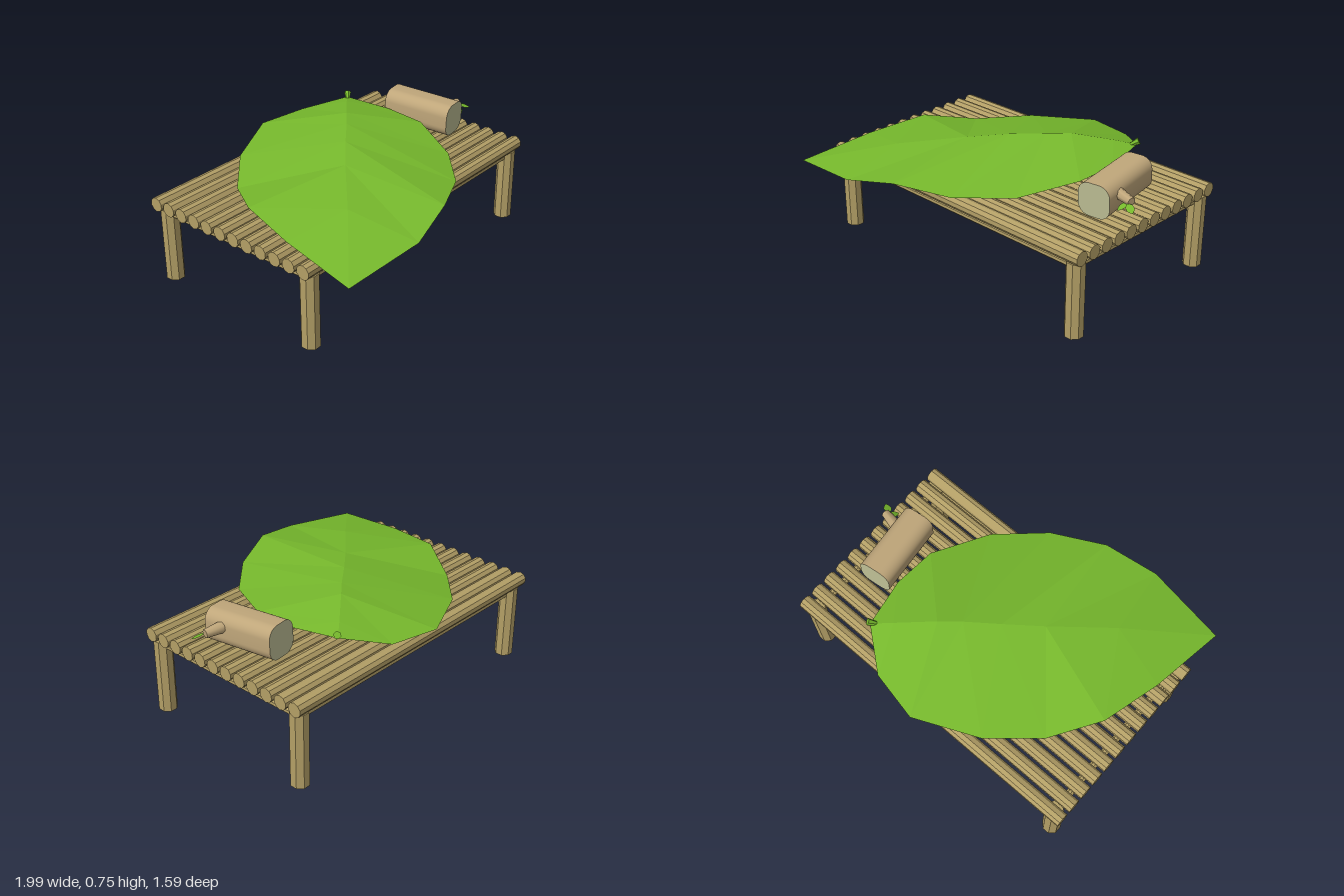
import * as THREE from 'three';
import { toCreasedNormals } from 'three/addons/utils/BufferGeometryUtils.js';

const mat = (color, extra = {}) => new THREE.MeshStandardMaterial({ color, ...extra });

export function createModel() {
  const model = new THREE.Group();
  const wood = mat(0xb39f66, { flatShading: true });
  const bark = mat(0xbfa67a);
  const cutWood = mat(0xbcbd94);
  const green = mat(0x76b82c, { flatShading: true, side: THREE.DoubleSide });

  const add = (name, geometry, material, parent = model) => {
    const mesh = new THREE.Mesh(geometry, material);
    mesh.name = name;
    parent.add(mesh);
    return mesh;
  };

  // Straight pole between two points
  const pole = (name, a, b, r0, r1, sides, material) => {
    const from = new THREE.Vector3(...a), to = new THREE.Vector3(...b);
    const dir = to.clone().sub(from);
    const geo = new THREE.CylinderGeometry(r1, r0, dir.length(), sides);
    geo.rotateY(Math.PI / sides);
    const mesh = add(name, geo, material);
    mesh.position.copy(from).add(to).multiplyScalar(0.5);
    mesh.quaternion.setFromUnitVectors(new THREE.Vector3(0, 1, 0), dir.normalize());
    return mesh;
  };

  // Table top of parallel slats
  for (let i = 0; i < 12; i++) {
    const z = -0.667 + i * 0.1007;
    pole('slat', [-1, 0.495, z], [0.97, 0.495, z], 0.043, 0.043, 10, wood);
  }

  // Legs and the rails joining them
  const legX = [-0.925, 0.91], legZ = [-0.643, 0.418];
  for (const x of legX) {
    for (const z of legZ) pole('leg', [x, 0, z], [x, 0.455, z], 0.055, 0.055, 8, wood);
    pole('sideRail', [x, 0.428, legZ[0]], [x, 0.428, legZ[1]], 0.023, 0.023, 8, wood);
  }
  for (const z of legZ)
    pole('longRail', [legX[0], 0.425, z], [legX[1], 0.425, z], 0.023, 0.023, 8, wood);

  // Big leaf: each row is left edge, midrib, right edge
  const tip = [-0.985, 0.515, 0.735], base = [0.525, 0.675, -0.555];
  const rows = [
    [tip, tip, tip],
    [[-0.92, 0.57, 0.26], [-0.55, 0.64, 0.36], [-0.49, 0.57, 0.79]],
    [[-0.83, 0.605, -0.105], [-0.24, 0.69, 0.08], [-0.17, 0.63, 0.72]],
    [[-0.64, 0.55, -0.385], [-0.05, 0.717, -0.08], [0.14, 0.6, 0.575]],
    [[-0.375, 0.578, -0.625], [0.12, 0.73, -0.215], [0.4, 0.6, 0.335]],
    [[0, 0.605, -0.8], [0.23, 0.735, -0.31], [0.57, 0.645, 0]],
    [[0.3, 0.615, -0.74], [0.42, 0.7, -0.47], [0.585, 0.655, -0.26]],
    [base, base, base],
  ];
  const index = [];
  for (let r = 0; r < rows.length - 1; r++) {
    for (let c = 0; c < 2; c++) {
      const a = r * 3 + c, b = a + 1, d = a + 3, e = a + 4;
      if (r > 0) index.push(a, b, d);
      if (r < rows.length - 2) index.push(b, e, d);
      else if (c === 0) continue;
    }
  }
  // Close the pointed tip on both halves
  const leafGeo = new THREE.BufferGeometry();
  leafGeo.setAttribute('position', new THREE.Float32BufferAttribute(rows.flat(2), 3));
  leafGeo.setIndex(index);
  leafGeo.computeVertexNormals();
  add('leafBlanket', leafGeo, green);
  pole('leafStalk', [0.5, 0.675, -0.53], [0.535, 0.7, -0.56], 0.012, 0.022, 6, green);

  // Log pillow: rounded square section, pale cut ends
  const h = 0.1, k = 0.068;
  const section = new THREE.Shape();
  section.moveTo(h - k, -h);
  section.absarc(h - k, -h + k, k, -Math.PI / 2, 0);
  section.absarc(h - k, h - k, k, 0, Math.PI / 2);
  section.absarc(-h + k, h - k, k, Math.PI / 2, Math.PI);
  section.absarc(-h + k, -h + k, k, Math.PI, Math.PI * 1.5);
  const logGeo = new THREE.ExtrudeGeometry(section, { depth: 0.44, bevelEnabled: false, curveSegments: 5 });
  logGeo.translate(0, 0, -0.22);
  const log = add('logPillow', toCreasedNormals(logGeo, 0.7), [cutWood, bark]);
  log.position.set(0.735, 0.643, -0.105);
  log.rotation.set(0.04, 0.125, 0);

  // Twig stub on the log with two small leaves
  pole('twig', [0.82, 0.665, -0.01], [0.94, 0.655, 0.015], 0.036, 0.025, 8, bark);
  const sprig = (x, y, z, length, yaw, pitch) => {
    const s = new THREE.Shape();
    s.moveTo(0, 0);
    s.quadraticCurveTo(length * 0.5, length * 0.55, length, 0);
    s.quadraticCurveTo(length * 0.5, -length * 0.55, 0, 0);
    const geo = new THREE.ShapeGeometry(s, 4);
    geo.rotateX(-Math.PI / 2);
    const leaf = add('smallLeaf', geo, green);
    leaf.position.set(x, y, z);
    leaf.rotation.set(0.25, yaw, pitch);
  };
  sprig(0.925, 0.65, 0.03, 0.085, -0.6, -0.2);
  sprig(0.92, 0.65, 0.02, 0.075, -1.9, -0.3);

  return model;
}
